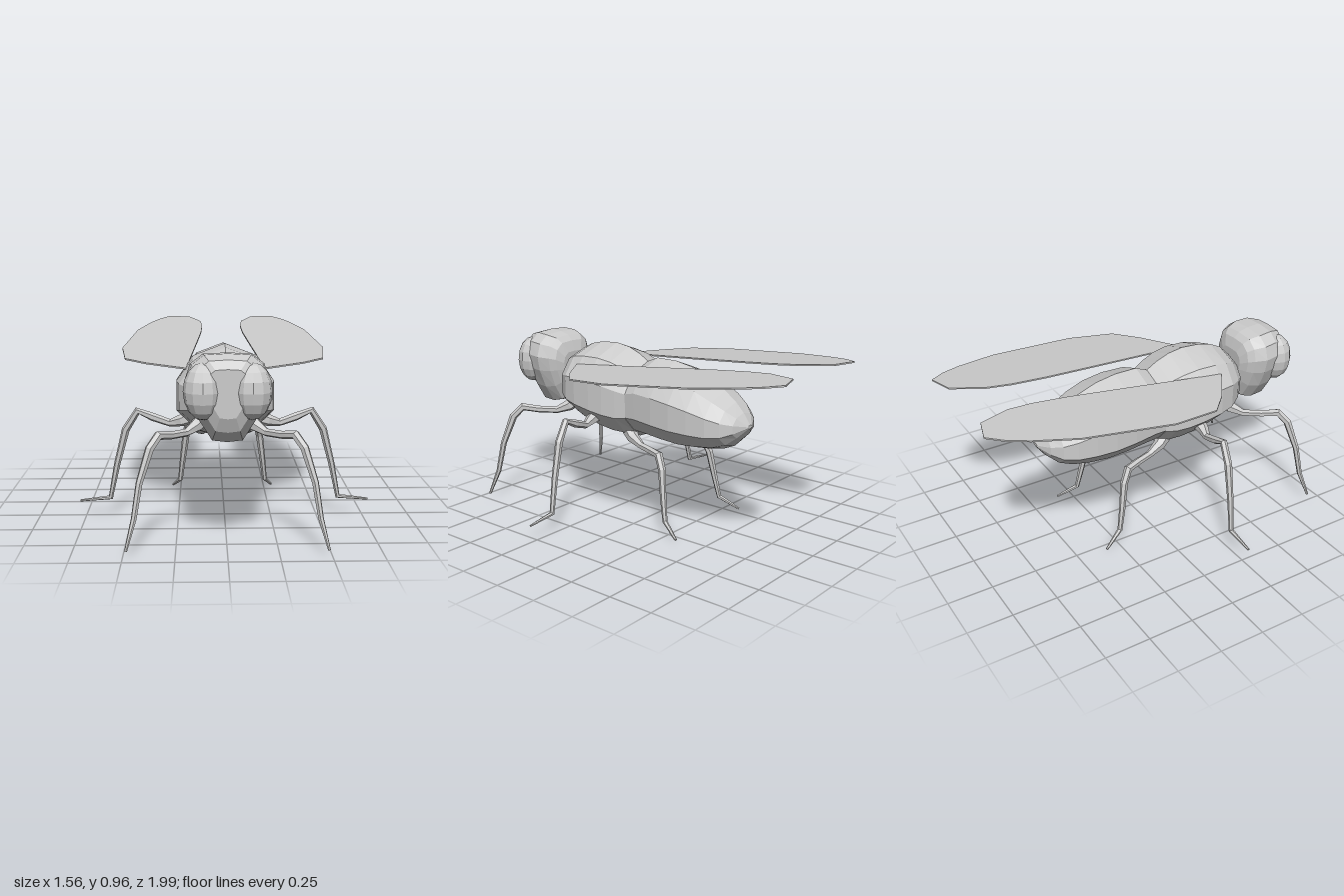
import * as THREE from 'three';

const material = new THREE.MeshStandardMaterial({ color: 0xcccccc, flatShading: true });
const thinMaterial = new THREE.MeshStandardMaterial({ color: 0xcccccc, flatShading: true, side: THREE.DoubleSide });

function addMesh(parent, name, geometry, mat = material) {
  const mesh = new THREE.Mesh(geometry, mat);
  mesh.name = name;
  parent.add(mesh);
  return mesh;
}

// Skins a list of equal-sized rings of Vector3 and closes both ends with fans.
function loft(rings) {
  const n = rings[0].length;
  const points = rings.flat();
  const index = [];
  for (let r = 0; r < rings.length - 1; r++) {
    for (let i = 0; i < n; i++) {
      const j = (i + 1) % n;
      const a = r * n + i, b = r * n + j, c = a + n, d = b + n;
      index.push(a, c, b, b, c, d);
    }
  }
  const last = (rings.length - 1) * n;
  const centre = ring => ring.reduce((sum, p) => sum.add(p), new THREE.Vector3()).divideScalar(n);
  const front = points.push(centre(rings[0])) - 1;
  const back = points.push(centre(rings[rings.length - 1])) - 1;
  for (let i = 0; i < n; i++) {
    const j = (i + 1) % n;
    index.push(front, i, j, back, last + j, last + i);
  }
  const geometry = new THREE.BufferGeometry().setFromPoints(points);
  geometry.setIndex(index);
  geometry.computeVertexNormals();
  return geometry;
}

// Body shell: stations [z, top, bottom, half width], front to back, and the
// right-hand half of a unit cross-section listed from bottom to top.
function bodyShell(stations, half) {
  const mirrored = half.slice(1, -1).reverse().map(([x, y]) => [-x, y]);
  const outline = [...half, ...mirrored];
  return loft(stations.map(([z, top, bottom, w]) => outline.map(([x, y]) =>
    new THREE.Vector3(x * w, (top + bottom) / 2 + y * (top - bottom) / 2, z))));
}

// Tapered six-sided limb through points [x, y, z, radius].
function limb(path, side) {
  const pts = path.map(([x, y, z]) => new THREE.Vector3(side * x, y, z));
  const span = pts[pts.length - 1].clone().sub(pts[0]);
  const across = new THREE.Vector3(-span.z, 0, span.x).normalize();
  return loft(pts.map((p, k) => {
    const t = pts[Math.min(k + 1, pts.length - 1)].clone().sub(pts[Math.max(k - 1, 0)]).normalize();
    const u = t.clone().cross(across).normalize();
    const v = u.clone().cross(t);
    return Array.from({ length: 6 }, (_, i) => {
      const a = i * Math.PI / 3;
      return p.clone().addScaledVector(u, Math.cos(a) * path[k][3]).addScaledVector(v, Math.sin(a) * path[k][3]);
    });
  }));
}

const trunkSection = [[0, -1], [0.6, -0.8], [1, -0.38], [1, 0.27], [0.67, 0.75], [0, 1]];
const headSection = [[0, -1], [0.38, -0.96], [0.7, -0.5], [0.92, 0], [1, 0.4], [0.88, 0.75], [0.58, 0.97], [0, 1]];

const headStations = [
  [0.96, 0.91, 0.68, 0.1], [0.93, 0.95, 0.61, 0.15], [0.86, 0.97, 0.55, 0.19],
  [0.78, 0.965, 0.545, 0.2], [0.72, 0.95, 0.56, 0.17], [0.69, 0.92, 0.6, 0.14], [0.67, 0.86, 0.66, 0.09],
];
const thoraxStations = [
  [0.69, 0.76, 0.64, 0.06], [0.65, 0.83, 0.58, 0.13], [0.59, 0.89, 0.54, 0.19], [0.52, 0.925, 0.505, 0.235],
  [0.44, 0.945, 0.475, 0.25], [0.33, 0.953, 0.445, 0.25], [0.24, 0.94, 0.43, 0.24],
  [0.16, 0.91, 0.43, 0.22], [0.1, 0.875, 0.455, 0.2],
];
const abdomenStations = [
  [0.1, 0.875, 0.46, 0.2], [0.03, 0.905, 0.455, 0.21], [-0.1, 0.905, 0.445, 0.225], [-0.22, 0.885, 0.44, 0.225],
  [-0.33, 0.845, 0.45, 0.21], [-0.43, 0.79, 0.47, 0.185], [-0.5, 0.74, 0.5, 0.15],
  [-0.55, 0.69, 0.55, 0.1], [-0.592, 0.63, 0.61, 0.02],
];

const legs = {
  frontLeg: [
    [0.1, 0.62, 0.55, 0.045], [0.15, 0.57, 0.58, 0.034], [0.2, 0.545, 0.63, 0.02], [0.27, 0.55, 0.71, 0.02],
    [0.33, 0.565, 0.78, 0.023], [0.37, 0.51, 0.82, 0.022], [0.42, 0.35, 0.86, 0.017],
    [0.447, 0.18, 0.885, 0.014], [0.485, 0.035, 0.93, 0.007],
  ],
  middleLeg: [
    [0.16, 0.57, 0.33, 0.04], [0.23, 0.545, 0.33, 0.032], [0.29, 0.53, 0.315, 0.02], [0.38, 0.56, 0.305, 0.022],
    [0.46, 0.592, 0.3, 0.02], [0.525, 0.49, 0.29, 0.021], [0.575, 0.3, 0.28, 0.017],
    [0.615, 0.11, 0.27, 0.014], [0.78, 0.092, 0.265, 0.006],
  ],
  hindLeg: [
    [0.09, 0.5, 0.17, 0.045], [0.12, 0.455, 0.11, 0.034], [0.145, 0.43, 0.03, 0.02], [0.17, 0.425, -0.06, 0.021],
    [0.2, 0.425, -0.14, 0.023], [0.215, 0.35, -0.175, 0.021], [0.235, 0.2, -0.2, 0.017],
    [0.25, 0.075, -0.225, 0.014], [0.295, 0.012, -0.335, 0.007],
  ],
};

// Wing outline seen from above, as [x, z].
const wingOutline = [
  [0.2, 0.46], [0.41, 0.31], [0.53, 0.19], [0.565, -0.08], [0.51, -0.58], [0.44, -0.81], [0.39, -0.92],
  [0.33, -1], [0.2, -0.96], [0.13, -0.79], [0.117, -0.65], [0.123, -0.45], [0.145, -0.18],
];

function wing(side) {
  const shape = new THREE.Shape(wingOutline.map(([x, z]) => new THREE.Vector2(side * x, -z)));
  const geometry = new THREE.ExtrudeGeometry(shape, { depth: 0.008, bevelEnabled: false });
  geometry.rotateX(-Math.PI / 2);
  // Rise toward the rear tip, with a slight droop outward.
  const p = geometry.attributes.position;
  for (let i = 0; i < p.count; i++) {
    p.setY(i, p.getY(i) + 0.835 + (0.46 - p.getZ(i)) * 0.09 - (Math.abs(p.getX(i)) - 0.2) * 0.035);
  }
  geometry.computeVertexNormals();
  return geometry;
}

export function createModel() {
  const model = new THREE.Group();
  model.name = 'fly';

  // Head, thorax and abdomen
  addMesh(model, 'head', bodyShell(headStations, headSection));
  addMesh(model, 'thorax', bodyShell(thoraxStations, trunkSection));
  addMesh(model, 'abdomen', bodyShell(abdomenStations, trunkSection));

  // Paired parts
  for (const [label, side] of [['left', 1], ['right', -1]]) {
    const eye = addMesh(model, `${label}Eye`, new THREE.SphereGeometry(1, 12, 8));
    eye.scale.set(0.093, 0.135, 0.09);
    eye.position.set(side * 0.115, 0.8, 0.903);

    addMesh(model, `${label}Wing`, wing(side), thinMaterial);

    for (const [name, path] of Object.entries(legs)) {
      addMesh(model, `${label} ${name}`, limb(path, side));
    }
  }
  return model;
}
